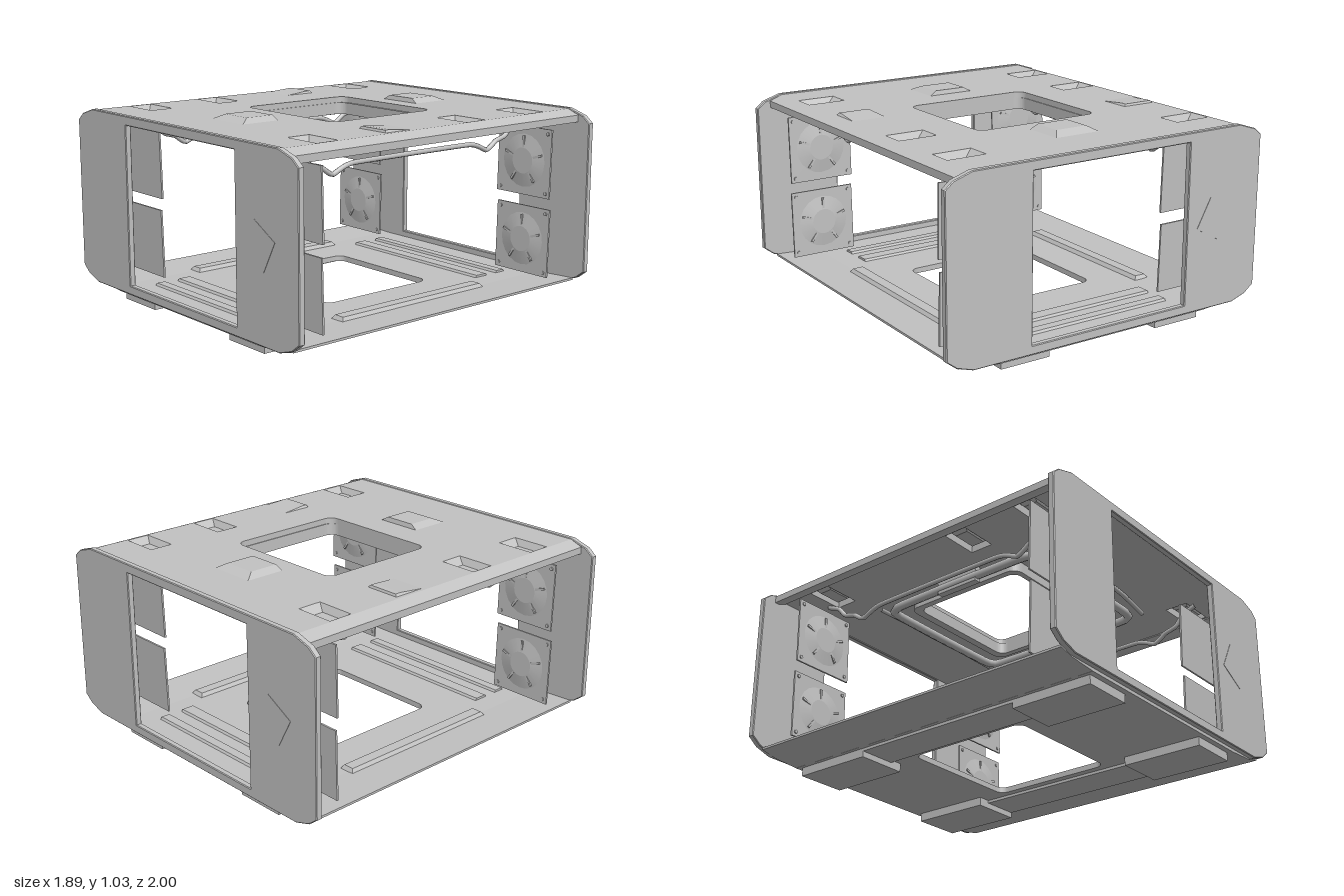
import * as THREE from 'three';

const grey = new THREE.MeshStandardMaterial({ color: 0xc2c2c2 });
grey.name = 'panel grey';
const greyOpen = new THREE.MeshStandardMaterial({ color: 0xc2c2c2, side: THREE.DoubleSide });
greyOpen.name = 'panel grey';

export function createModel() {
  const root = new THREE.Group();
  root.name = 'frameModule';

  const add = (name, geo, parent = root, mat = grey) => {
    const m = new THREE.Mesh(geo, mat);
    m.name = name;
    parent.add(m);
    return m;
  };

  // Box given by its limits; the top face may be drawn in on each side
  const block = (x0, x1, y0, y1, z0, z1, [l, r, b, f] = [0, 0, 0, 0]) => {
    const g = new THREE.BoxGeometry(x1 - x0, y1 - y0, z1 - z0).toNonIndexed();
    g.translate((x0 + x1) / 2, (y0 + y1) / 2, (z0 + z1) / 2);
    const p = g.attributes.position, my = (y0 + y1) / 2, mx = (x0 + x1) / 2, mz = (z0 + z1) / 2;
    for (let i = 0; i < p.count; i++) {
      if (p.getY(i) < my) continue;
      p.setX(i, p.getX(i) + (p.getX(i) < mx ? l : -r));
      p.setZ(i, p.getZ(i) + (p.getZ(i) < mz ? b : -f));
    }
    g.computeVertexNormals();
    return g;
  };

  // Rectangle with rounded corners
  const rounded = (path, x0, x1, y0, y1, r) => {
    const q = Math.PI / 2;
    path.moveTo(x0 + r, y0);
    path.absarc(x1 - r, y0 + r, r, -q, 0);
    path.absarc(x1 - r, y1 - r, r, 0, q);
    path.absarc(x0 + r, y1 - r, r, q, 2 * q);
    path.absarc(x0 + r, y0 + r, r, 2 * q, 3 * q);
    path.closePath();
    return path;
  };
  const rect = (x0, x1, y0, y1) => new THREE.Path([[x0, y0], [x1, y0], [x1, y1], [x0, y1], [x0, y0]]
    .map(([x, y]) => new THREE.Vector2(x, y)));
  const polygon = pts => new THREE.Shape(pts.map(([x, y]) => new THREE.Vector2(x, y)));

  // Horizontal slab: shape coordinates are x and z
  const slab = (shape, top, thick) => new THREE.ExtrudeGeometry(shape,
    { depth: thick, bevelEnabled: false, curveSegments: 5 }).rotateX(Math.PI / 2).translate(0, top, 0);

  // Roof deck with central hatch and sunken pockets
  const pockets = [];
  for (const s of [-1, 1]) {
    pockets.push([s, -0.77, -0.64], [s, 0.64, 0.77], [s, s < 0 ? 0.2 : -0.33, s < 0 ? 0.33 : -0.2]);
  }
  const roof = polygon([[-0.8, -0.97], [0.8, -0.97], [0.8, 0.97], [-0.8, 0.97]]);
  roof.holes.push(rounded(new THREE.Path(), -0.36, 0.36, -0.375, 0.305, 0.05));
  for (const [s, z0, z1] of pockets) roof.holes.push(rect(s * 0.685 - 0.105, s * 0.685 + 0.105, z0, z1));
  add('roofDeck', slab(roof, 1.012, 0.04));

  // Pocket liners: sloping walls down to a small floor
  for (const [s, z0, z1] of pockets) {
    const x0 = s * 0.685 - 0.105, x1 = s * 0.685 + 0.105, t = 1.012, d = 0.977;
    const g = new THREE.BufferGeometry();
    g.setAttribute('position', new THREE.Float32BufferAttribute([
      x0, t, z0, x1, t, z0, x1, t, z1, x0, t, z1,
      x0 + 0.04, d, z0 + 0.035, x1 - 0.04, d, z0 + 0.035, x1 - 0.04, d, z1 - 0.02, x0 + 0.04, d, z1 - 0.02], 3));
    const idx = [4, 6, 5, 4, 7, 6];
    for (let i = 0; i < 4; i++) {
      const j = (i + 1) % 4;
      idx.push(i, i + 4, j, j, i + 4, j + 4);
    }
    g.setIndex(idx);
    const flat = g.toNonIndexed();
    flat.computeVertexNormals();
    add('roofPocket', flat, root, greyOpen);
  }

  // Sloping roof edges and floor edges, run along z
  for (const s of [-1, 1]) {
    const along = pts => {
      const g = new THREE.ExtrudeGeometry(polygon(pts.map(([x, y]) => [s * x, y])), { depth: 1.94, bevelEnabled: false });
      return g.translate(0, 0, -0.97);
    };
    add('roofEdge', along([[0.8, 1.012], [0.8, 0.965], [0.84, 0.948], [0.87, 0.948], [0.87, 0.985]]));
    add('floorEdge', along([[0.62, 0.05], [0.62, 0.08], [0.87, 0.092], [0.87, 0.08], [0.78, 0.06]]));
  }

  // Raised scoops and central bumps on the roof
  for (const s of [-1, 1]) {
    const z0 = s < 0 ? -0.34 : 0.02, z1 = s < 0 ? -0.02 : 0.34;
    add('roofScoop', block(s * 0.685 - 0.105, s * 0.685 + 0.105, 1.0, 1.024, z0, z1,
      s < 0 ? [0.02, 0.02, 0.01, 0.28] : [0.02, 0.02, 0.28, 0.01]));
    const a = s < 0 ? -0.73 : 0.47, b = s < 0 ? -0.48 : 0.72;
    add('roofBump', block(-0.15, 0.15, 1.0, 1.036, a, b, s < 0 ? [0.06, 0.06, 0.08, 0.01] : [0.06, 0.06, 0.01, 0.08]));
  }

  // Hatch collar hanging under the roof
  const collar = rounded(new THREE.Shape(), -0.39, 0.39, -0.405, 0.335, 0.06);
  collar.holes.push(rounded(new THREE.Path(), -0.355, 0.355, -0.36, 0.305, 0.05));
  add('hatchCollar', slab(collar, 0.98, 0.065));

  // Floor with matching opening
  const floor = polygon([[-0.63, -0.97], [0.63, -0.97], [0.63, 0.97], [-0.63, 0.97]]);
  floor.holes.push(rounded(new THREE.Path(), -0.36, 0.36, -0.36, 0.34, 0.05));
  add('floorDeck', slab(floor, 0.08, 0.03));

  // End frames with rounded outer corners, a wide opening and a thin diamond plate
  for (const turn of [0, Math.PI]) {
    const end = new THREE.Group();
    end.name = turn ? 'backEnd' : 'frontEnd';
    end.rotation.y = turn;
    root.add(end);
    const right = [[0.8, 0.071], [0.89, 0.1], [0.942, 0.14], [0.942, 0.945], [0.9, 0.98], [0.8, 1.012]];
    const left = right.map(([x, y]) => [-x, y]).reverse();
    const shape = polygon([...right, ...left]);
    shape.holes.push(rect(-0.475, 0.475, 0.11, 0.97));
    add('endFrame', new THREE.ExtrudeGeometry(shape, {
      depth: 0.026, bevelThickness: 0.004, bevelSize: 0.004, bevelSegments: 1 }).translate(0, 0, 0.969), end);
    const diamond = add('diamondPlate', new THREE.BoxGeometry(0.177, 0.177, 0.004), end);
    diamond.position.set(0.655, 0.545, 0.999);
    diamond.rotation.z = -0.5;

    // Fan plates standing behind the solid panels
    for (const s of [-1, 1]) for (const y of [0.305, 0.735]) {
      const fan = new THREE.Group();
      fan.name = 'fanPlate';
      fan.position.set(s * 0.665, y, 0.782);
      fan.rotation.x = 0.025;
      end.add(fan);
      add('plate', new THREE.BoxGeometry(0.37, 0.37, 0.01), fan);
      add('fanCone', new THREE.CylinderGeometry(0.07, 0.15, 0.014, 20).rotateX(-Math.PI / 2).translate(0, 0, -0.011), fan);
      for (let i = 0; i < 5; i++) {
        add('fanBlade', new THREE.BoxGeometry(0.012, 0.09, 0.008).translate(0, 0.09, -0.013)
          .rotateZ(i * Math.PI * 0.4), fan);
      }
      for (const a of [-1, 1]) for (const b of [-1, 1]) {
        add('screw', new THREE.CylinderGeometry(0.01, 0.01, 0.008, 8).rotateX(Math.PI / 2)
          .translate(a * 0.16, b * 0.16, -0.007), fan);
      }
    }
  }

  // Feet, the rails joining them and raised strips on the floor
  for (const s of [-1, 1]) {
    const side = (name, a, b, ...rest) => add(name, block(Math.min(s * a, s * b), Math.max(s * a, s * b), ...rest));
    side('foot', 0.33, 0.61, 0.004, 0.06, 0.49, 0.94);
    side('foot', 0.33, 0.61, 0.004, 0.06, -0.94, -0.49);
    side('footRail', 0.4, 0.61, 0.035, 0.06, -0.49, 0.49);
    side('floorRail', 0.56, 0.66, 0.07, 0.1, -0.5, 0.5, [0.02, 0.02, 0.02, 0.02]);
    add('crossStrip', block(-0.5, 0.5, 0.07, 0.092, s * 0.64 - 0.05, s * 0.64 + 0.05, [0, 0, 0.015, 0.015]));
    add('crossStrip', block(-0.5, 0.5, 0.07, 0.092, s * 0.79 - 0.04, s * 0.79 + 0.04, [0, 0, 0.015, 0.015]));
    side('pipeBox', 0.43, 0.47, 0.885, 0.975, -0.13, 0.13);
  }

  // Pipes below the roof: one dipping run per side and a ring around the hatch
  const tube = (name, pts, r, closed) => add(name, new THREE.TubeGeometry(new THREE.CatmullRomCurve3(
    pts.map(p => new THREE.Vector3(...p)), closed, 'catmullrom', 0.2), 80, r, 8, closed));
  for (const s of [-1, 1]) {
    const half = [[0.8, 0.965], [0.72, 0.93], [0.67, 0.875], [0.6, 0.855], [0.53, 0.812], [0.4, 0.855]];
    const run = [...half, ...half.map(([z, y]) => [-z, y]).reverse()];
    tube('sidePipe', run.map(([z, y]) => [s * 0.62, y, z]), 0.013, false);
    tube('crossPipe', [[-0.47, 0.935, s * 0.55], [-0.25, 0.955, s * 0.57], [0, 0.96, s * 0.58],
      [0.25, 0.955, s * 0.57], [0.47, 0.935, s * 0.55]], 0.013, false);
  }
  const ring = [];
  for (const [sx, sz] of [[1, 1], [1, -1], [-1, -1], [-1, 1]]) {
    const a = [sx * 0.45, 0.92, sz * 0.42], b = [sx * 0.38, 0.92, sz * 0.5];
    ring.push(...(sx === sz ? [b, a] : [a, b]));
  }
  tube('hatchPipe', ring, 0.024, true);

  return root;
}
